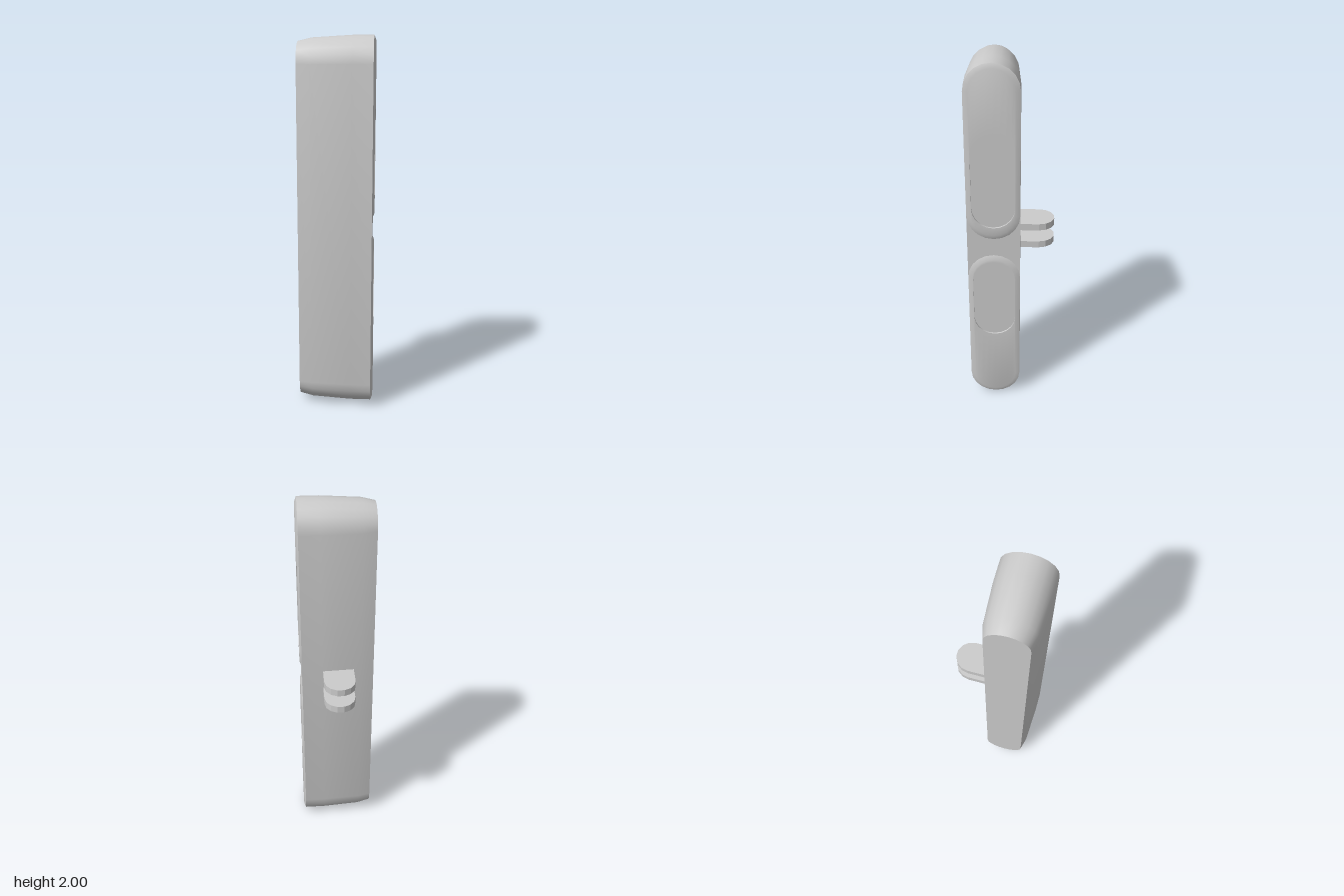
import * as THREE from 'three';
import { toCreasedNormals } from 'three/addons/utils/BufferGeometryUtils.js';

const ARC = 10;      // segments per rounded end
const CZ = 0.09;     // depth centre of the casing

// Upright stadium outline at a given x: half width r, from y0 to y1
function ring({ x, r, y0, y1 }) {
  const pts = [];
  for (const [start, cy] of [[0, y1 - r], [Math.PI, y0 + r]]) {
    for (let i = 0; i <= ARC; i++) {
      const a = start + (Math.PI * i) / ARC;
      pts.push([x, cy + r * Math.sin(a), CZ - r * Math.cos(a)]);
    }
  }
  return pts;
}

// Skin a series of stadium sections, optionally closing both ends
function loft(sections, capped) {
  const rings = sections.map(ring);
  const n = rings[0].length;
  const pos = [];
  const tri = (...p) => p.forEach((v) => pos.push(...v));
  for (let i = 0; i < rings.length - 1; i++) {
    for (let j = 0; j < n; j++) {
      const k = (j + 1) % n;
      const [a, b, c, d] = [rings[i][j], rings[i][k], rings[i + 1][k], rings[i + 1][j]];
      tri(a, b, c);
      tri(a, c, d);
    }
  }
  if (capped) {
    const first = rings[0], last = rings[rings.length - 1];
    const middle = (s) => [s.x, (s.y0 + s.y1) / 2, CZ];
    const m0 = middle(sections[0]), m1 = middle(sections[sections.length - 1]);
    for (let j = 0; j < n; j++) {
      const k = (j + 1) % n;
      tri(m0, first[k], first[j]);
      tri(m1, last[j], last[k]);
    }
  }
  const geo = new THREE.BufferGeometry();
  geo.setAttribute('position', new THREE.Float32BufferAttribute(pos, 3));
  return toCreasedNormals(geo, 0.4);
}

export function createModel() {
  const model = new THREE.Group();
  const material = new THREE.MeshStandardMaterial({ color: 0xcccccc });
  const add = (name, geometry) => {
    const mesh = new THREE.Mesh(geometry, material);
    mesh.name = name;
    model.add(mesh);
    return mesh;
  };

  // Casing, tapering towards -x
  add('casing', loft([
    { x: -0.2, r: 0.11, y0: 0.03, y1: 1.97 },
    { x: -0.13, r: 0.129, y0: 0.013, y1: 1.987 },
    { x: 0.08, r: 0.14, y0: 0, y1: 2 },
    { x: 0.19, r: 0.14, y0: 0, y1: 2 },
  ], true));

  // Two chamfered face plates, each with a recessed window
  const plates = [
    { name: 'upperPlate', y0: 1.05, y1: 2, w0: 1.12, w1: 1.64 },
    { name: 'lowerPlate', y0: 0, y1: 0.95, w0: 0.43, w1: 0.91 },
  ];
  for (const { name, y0, y1, w0, w1 } of plates) {
    add(name, loft([
      { x: 0.19, r: 0.14, y0, y1 },
      { x: 0.2, r: 0.115, y0: y0 + 0.025, y1: y1 - 0.025 },
      { x: 0.2, r: 0.113, y0: w0, y1: w1 },
      { x: 0.19, r: 0.113, y0: w0, y1: w1 },
    ], false));
  }

  // Pair of round-nosed mounting lugs on the back
  const lug = new THREE.Shape();
  lug.moveTo(-0.09, -0.03);
  lug.lineTo(0.077, -0.03);
  for (let i = 0; i <= 7; i++) {
    const a = (Math.PI * i) / 7;
    lug.lineTo(-0.0065 + 0.0835 * Math.cos(a), 0.15 + 0.085 * Math.sin(a));
  }
  lug.closePath();
  const lugGeometry = new THREE.ExtrudeGeometry(lug, { depth: 0.038, bevelEnabled: false });
  lugGeometry.rotateX(-Math.PI / 2);
  add('upperLug', lugGeometry).position.y = 1.039;
  add('lowerLug', lugGeometry).position.y = 0.932;

  return model;
}
